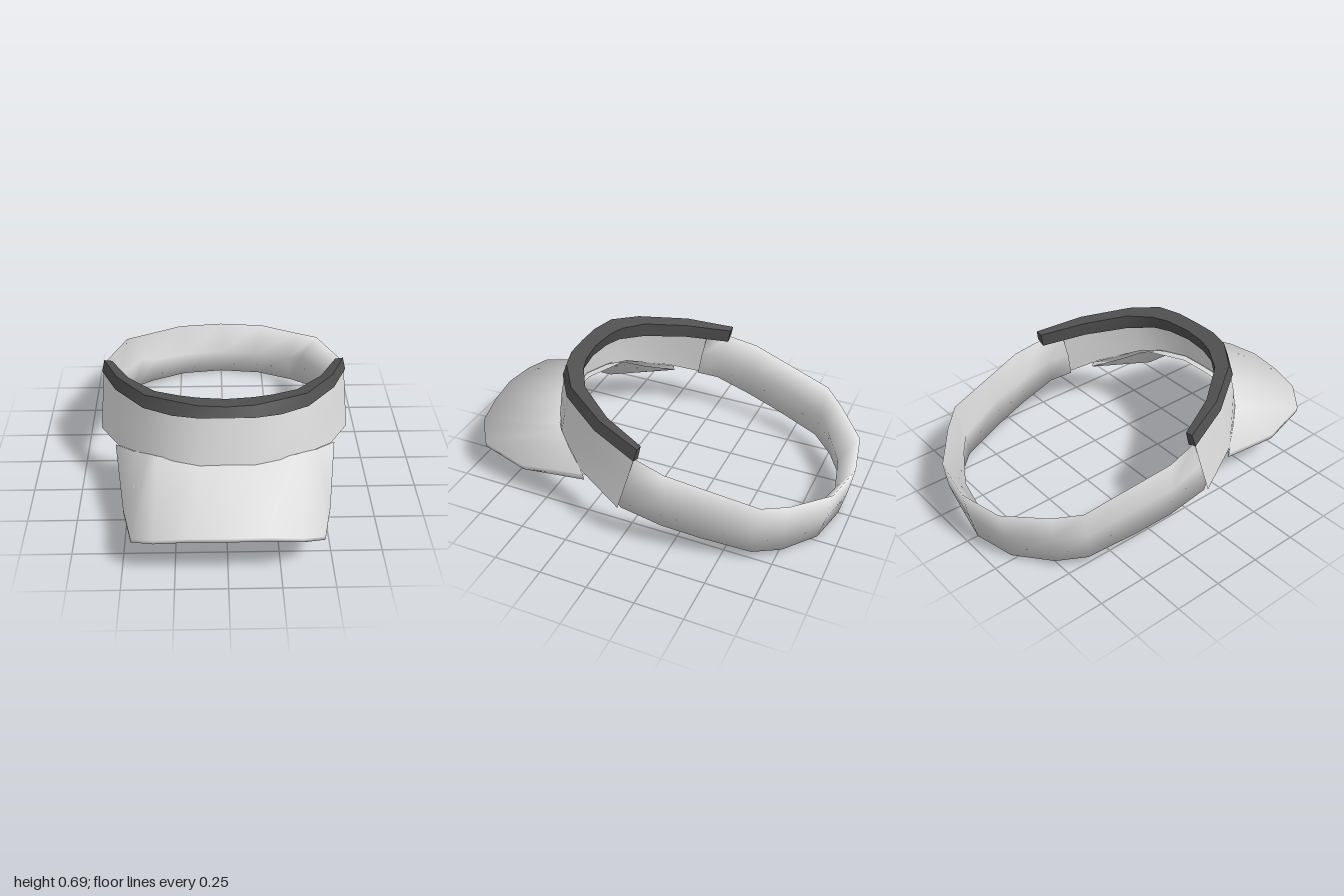
import * as THREE from 'three';
import { toCreasedNormals } from 'three/addons/utils/BufferGeometryUtils.js';

const material = (name, color) =>
  Object.assign(new THREE.MeshStandardMaterial({ color, side: THREE.DoubleSide }), { name });

// Mirror a half outline (centre section first, then toward +x) into a full run from -x to +x
const mirrored = (half) => [
  ...half.slice(1).reverse().map((row) => row.map(([x, y, z]) => [-x, y, z])),
  ...half,
];

// Skin a run of cross-sections; closed sections also get end caps
function loft(rows, closed, crease) {
  const n = rows[0].length;
  const index = [];
  const span = closed ? n : n - 1;
  for (let r = 0; r < rows.length - 1; r++) {
    for (let c = 0; c < span; c++) {
      const a = r * n + c;
      const b = r * n + ((c + 1) % n);
      index.push(a, b, a + n, b, b + n, a + n);
    }
  }
  if (closed) {
    const last = (rows.length - 1) * n;
    for (let k = 1; k < n - 1; k++) {
      index.push(0, k + 1, k, last, last + k, last + k + 1);
    }
  }
  const geometry = new THREE.BufferGeometry();
  geometry.setAttribute('position', new THREE.Float32BufferAttribute(rows.flat(2), 3));
  geometry.setIndex(index);
  return toCreasedNormals(geometry, crease);
}

export function createModel() {
  const light = material('light fabric', 0xdedede);
  const dark = material('dark binding', 0x505050);
  const group = new THREE.Group();
  group.name = 'sunVisor';
  const add = (name, geometry, mat) => {
    const mesh = new THREE.Mesh(geometry, mat);
    mesh.name = name;
    group.add(mesh);
  };

  // Front band: each section is [top, middle, bottom]
  const band = [
    [[0, 0.645, 0.53], [0, 0.52, 0.555], [0, 0.395, 0.575]],
    [[0.13, 0.643, 0.525], [0.13, 0.52, 0.55], [0.13, 0.392, 0.575]],
    [[0.25, 0.635, 0.485], [0.255, 0.51, 0.51], [0.26, 0.385, 0.525]],
    [[0.39, 0.615, 0.385], [0.39, 0.49, 0.42], [0.38, 0.365, 0.45]],
    [[0.54, 0.575, 0.16], [0.54, 0.435, 0.21], [0.54, 0.295, 0.26]],
    [[0.632, 0.53, -0.085], [0.642, 0.385, -0.045], [0.655, 0.225, 0]],
  ];
  add('frontBand', loft(mirrored(band), false, 0.8), light);

  // Dark binding on the upper edge: [outer top, outer bottom, inner bottom, inner top]
  const trim = [
    [[0, 0.69, 0.515], [0, 0.64, 0.536], [0, 0.61, 0.455], [0, 0.68, 0.432]],
    [[0.13, 0.693, 0.508], [0.13, 0.638, 0.532], [0.13, 0.608, 0.44], [0.13, 0.68, 0.418]],
    [[0.25, 0.697, 0.47], [0.256, 0.63, 0.494], [0.225, 0.6, 0.41], [0.22, 0.675, 0.39]],
    [[0.39, 0.668, 0.37], [0.398, 0.61, 0.394], [0.35, 0.575, 0.32], [0.345, 0.655, 0.315]],
    [[0.54, 0.628, 0.14], [0.549, 0.57, 0.164], [0.49, 0.54, 0.13], [0.485, 0.615, 0.125]],
    [[0.625, 0.585, -0.1], [0.639, 0.525, -0.085], [0.59, 0.505, -0.085], [0.585, 0.58, -0.1]],
  ];
  add('topTrim', loft(mirrored(trim), true, 0.75), dark);

  // Brim shell, rounded over its lip: each section is [root at the band, outer edge]
  const brim = [
    [[0, 0.4, 0.565], [0, 0.308, 1]],
    [[0.13, 0.397, 0.565], [0.18, 0.297, 0.985]],
    [[0.34, 0.388, 0.48], [0.34, 0.268, 0.96]],
    [[0.38, 0.378, 0.45], [0.45, 0.215, 0.885]],
    [[0.45, 0.335, 0.37], [0.502, 0.18, 0.63]],
    [[0.555, 0.285, 0.24], [0.56, 0.28, 0.235]],
  ];
  const lower = ([x, y, z]) => [x, y - 0.025, z - 0.005];
  const shell = brim.map(([root, edge]) => [root, edge, lower(edge), lower(root)]);
  add('brim', loft(mirrored(shell), false, Math.PI), light);

  // Rear strap: [top, outer middle, bottom, inner ridge], tucked inside the band
  const strap = [
    [[0, 0.305, -1], [0, 0.155, -0.975], [0, 0.005, -0.94], [0, 0.16, -0.907]],
    [[0.25, 0.315, -0.955], [0.25, 0.165, -0.935], [0.23, 0.015, -0.895], [0.21, 0.17, -0.862]],
    [[0.45, 0.345, -0.8], [0.44, 0.2, -0.785], [0.42, 0.04, -0.77], [0.4, 0.2, -0.75]],
    [[0.555, 0.378, -0.69], [0.55, 0.23, -0.67], [0.525, 0.07, -0.65], [0.47, 0.24, -0.69]],
    [[0.605, 0.445, -0.42], [0.61, 0.3, -0.4], [0.59, 0.125, -0.4], [0.585, 0.29, -0.41]],
    [[0.638, 0.49, -0.24], [0.635, 0.33, -0.22], [0.625, 0.165, -0.22], [0.6, 0.33, -0.23]],
    [[0.62, 0.525, -0.08], [0.63, 0.375, -0.05], [0.64, 0.22, -0.01], [0.605, 0.375, -0.05]],
    [[0.57, 0.54, 0.03], [0.58, 0.4, 0.06], [0.58, 0.26, 0.09], [0.56, 0.4, 0.06]],
  ];
  add('rearStrap', loft(mirrored(strap).reverse(), true, Math.PI), light);

  return group;
}
